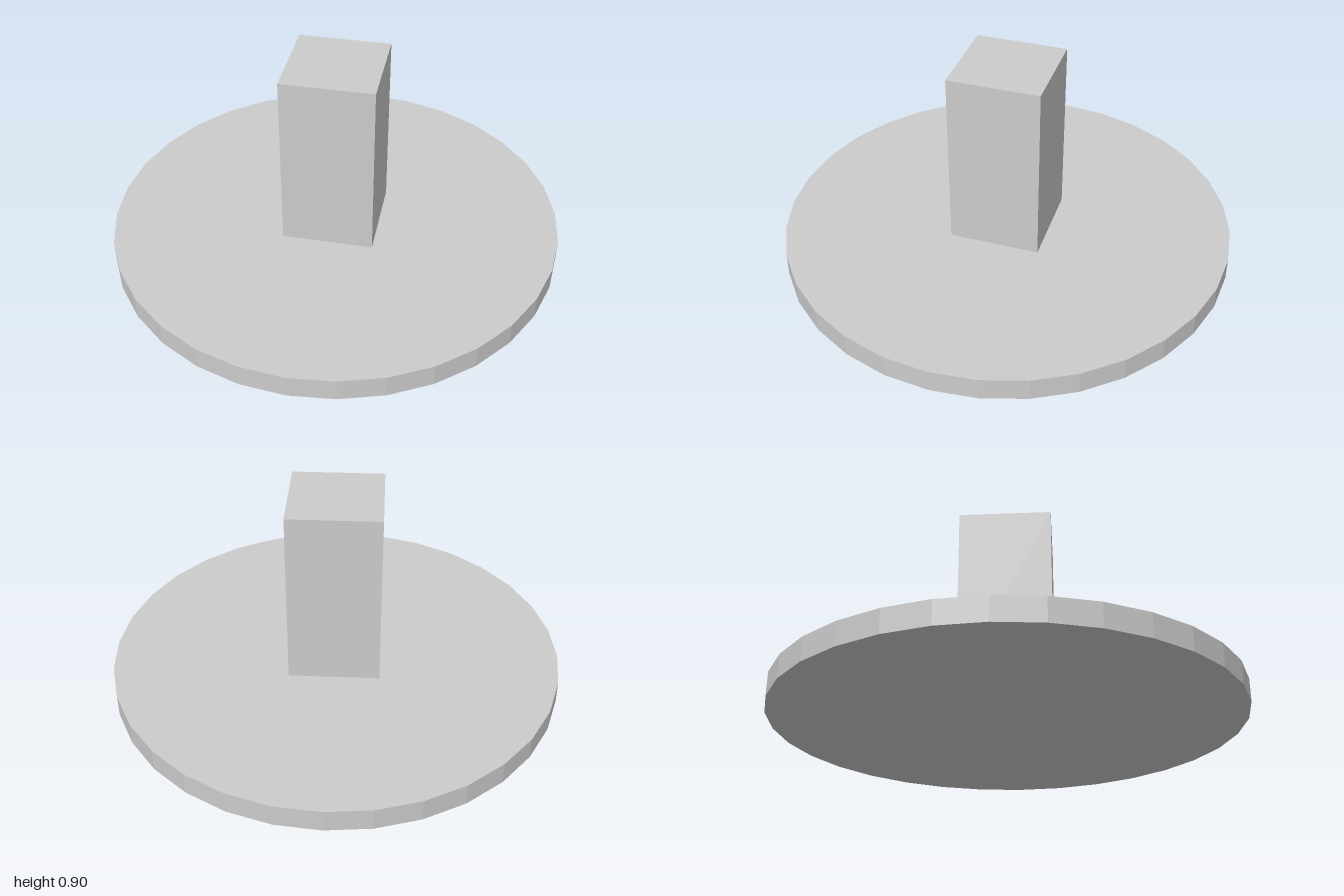
import * as THREE from 'three';

export function createModel() {
  const group = new THREE.Group();
  const material = new THREE.MeshStandardMaterial({ color: 0xcccccc, flatShading: true });

  const addPart = (name, geometry, y) => {
    const mesh = new THREE.Mesh(geometry, material);
    mesh.name = name;
    mesh.position.y = y;
    group.add(mesh);
  };

  // Round base plate, 32 flat sides
  addPart('base', new THREE.CylinderGeometry(1, 1, 0.1, 32), 0.05);
  // Square post standing on the base
  addPart('post', new THREE.BoxGeometry(0.4, 0.8, 0.4), 0.5);

  return group;
}
